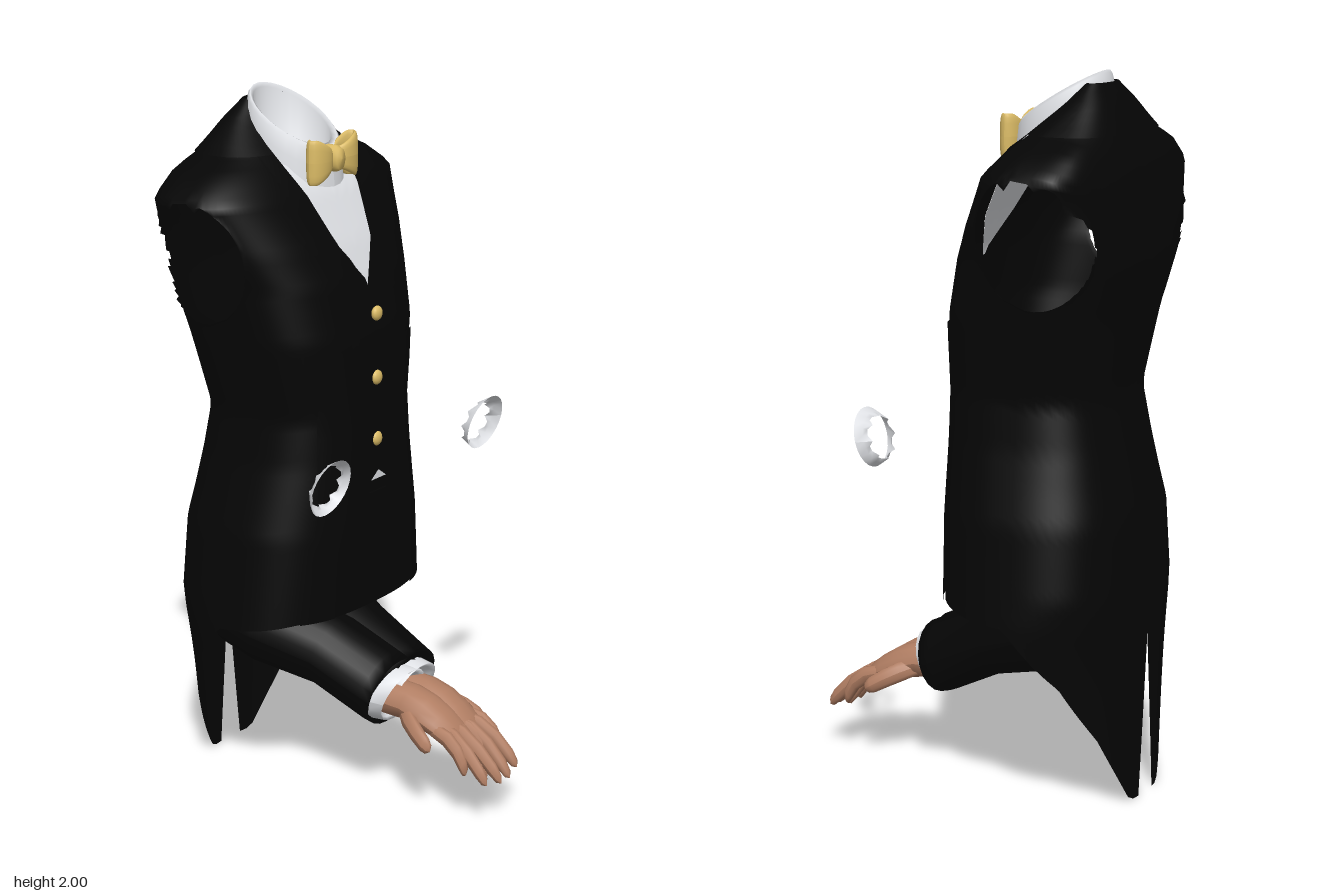
import * as THREE from 'three';

const mat = (name, color) => new THREE.MeshStandardMaterial({ name, color, side: THREE.DoubleSide });

// Linear interpolation in a table of [key, value, value...] rows
function lookup(table, k) {
  if (k <= table[0][0]) return table[0].slice(1);
  for (let i = 1; i < table.length; i++) {
    const a = table[i - 1], b = table[i];
    if (k <= b[0]) return a.slice(1).map((v, j) => v + (b[j + 1] - v) * (k - a[0]) / (b[0] - a[0]));
  }
  return table[table.length - 1].slice(1);
}

// Grid surface from a rule fn(u, v); "hole" may move a point and report it as cut away
function surface(nu, nv, fn, hole) {
  const pos = [], idx = [], cut = [];
  for (let j = 0; j <= nv; j++) for (let i = 0; i <= nu; i++) {
    const p = fn(i / nu, j / nv);
    cut.push(hole ? hole(p) : false);
    pos.push(...p);
  }
  for (let j = 0; j < nv; j++) for (let i = 0; i < nu; i++) {
    const a = j * (nu + 1) + i, b = a + 1, c = a + nu + 1, d = c + 1;
    if (cut[a] && cut[b] && cut[c] && cut[d]) continue;
    idx.push(a, b, d, a, d, c);
  }
  const g = new THREE.BufferGeometry();
  g.setAttribute('position', new THREE.Float32BufferAttribute(pos, 3));
  g.setIndex(idx);
  g.computeVertexNormals();
  return g;
}

// Tube of elliptical rings [x, y, z, rx, ry]; tilt leans the rings in z
function loft(rings, tilt = 0, n = 14) {
  return surface(n, rings.length - 1, (u, v) => {
    const [x, y, z, rx, ry] = rings[Math.round(v * (rings.length - 1))];
    const a = u * Math.PI * 2, h = Math.sin(a) * ry;
    return [x + Math.cos(a) * rx, y + h, z + h * tilt];
  });
}

function mirrored(g) {
  const m = g.clone().scale(-1, 1, 1);
  m.setIndex(Array.from(m.index.array).reverse());
  return m;
}

// Coat body: height, half width, front z, back z
const BODY = [[0, .37, .04, -.49], [.53, .37, .05, -.49], [.8, .34, .055, -.48], [1, .29, .055, -.44],
  [1.13, .27, .055, -.415], [1.35, .318, .05, -.45], [1.5, .34, .018, -.49], [1.6, .375, -.025, -.49],
  [1.74, .42, -.1, -.47], [1.8, .34, -.15, -.455], [1.84, .24, -.19, -.435], [1.92, .145, -.275, -.4],
  [1.97, .08, -.31, -.366]];
const NECKLINE = [[1.49, 0], [1.6, .08], [1.72, .115], [1.8, .135], [1.87, .13], [1.92, .112], [1.97, .065]];
const HEM = [[0, .56], [.8, .56], [1.57, .53], [2.29, .36], [2.69, .2], [3.05, 0]];
const ROUND = .75;
// Squareness of the back by height: curved tails, boxy shoulders, round collar
const BACK_ROUND = [[0, 2.5], [.36, 1.5], [.6, .75], [.9, .75], [1.4, .5], [1.82, .5], [1.95, 1]];

function bodyPoint(y, phi, off = 0) {
  const [w, f, b] = lookup(BODY, y), c = Math.cos(phi);
  const e = c < 0 ? lookup(BACK_ROUND, y)[0] : ROUND;
  return [(w + off) * Math.pow(Math.max(0, Math.sin(phi)), ROUND), y,
    (f + b) / 2 + ((f - b) / 2 + off) * Math.sign(c) * Math.pow(Math.abs(c), e)];
}
const angleAt = (y, x) => Math.asin(Math.min(1, Math.pow(Math.max(0, x) / lookup(BODY, y)[0], 1 / ROUND)));
const neckAngle = y => angleAt(y, lookup(NECKLINE, y)[0]);

// Armhole: points inside the frayed oval are pushed out to its edge
function armhole(p) {
  if (p[0] < .15) return false;
  const dy = (p[1] - 1.57) / .18, dz = (p[2] + .295) / .16, q = Math.hypot(dy, dz);
  const a = Math.atan2(dy, dz);
  const edge = a > 1.2 && a < 2.9 ? .84 + .16 * Math.abs(Math.sin(a * 5)) : 1;
  if (q >= edge) return false;
  const k = edge / Math.max(q, .01);
  p[1] = 1.57 + dy * k * .18;
  p[2] = -.295 + dz * k * .16;
  return true;
}

export function createModel() {
  const model = new THREE.Group();
  model.name = 'tailcoatOutfit';
  const black = mat('blackCloth', 0x050505), white = mat('whiteLinen', 0xe4e6ea);
  const gold = mat('goldSatin', 0xdcbc66), skin = mat('skin', 0xb17e63);

  const add = (name, geo, material) => {
    const m = new THREE.Mesh(geo, material);
    m.name = name;
    model.add(m);
    return m;
  };
  const addPair = (name, geo, material) => {
    add(name + 'Left', geo, material);
    add(name + 'Right', mirrored(geo), material);
  };

  // Coat shell with neckline, armholes, pointed tails and back slit
  addPair('coatBody', surface(56, 72, (u, v) => {
    const hem = lookup(HEM, u * Math.PI)[0];
    const y = 1.97 + (hem - 1.97) * v;
    const start = neckAngle(y);
    const end = Math.PI - angleAt(y, .045 * Math.max(0, 1 - y / .46));
    return bodyPoint(y, start + (end - start) * u);
  }, armhole), black);

  // Raised collar, lapels and front panels
  addPair('coatCollar', surface(24, 6, (u, v) => {
    const y = 1.84 + .13 * v, a = neckAngle(y);
    return bodyPoint(y, a + (Math.PI - a) * u, .008 * (1 - v));
  }), black);
  addPair('lapel', surface(6, 16, (u, v) => {
    const y = 1.28 + .56 * v;
    const inner = Math.max(lookup(NECKLINE, y)[0], .1 - .15 * v);
    const width = lookup([[1.28, .01], [1.66, .13], [1.72, .08], [1.84, .05]], y)[0];
    return bodyPoint(y, angleAt(y, inner + width * u), .008);
  }), black);
  addPair('coatFrontPanel', surface(8, 16, (u, v) => {
    const y = .56 + .76 * v;
    const inner = lookup([[.56, .18], [.9, .12], [1.32, .1]], y)[0];
    return bodyPoint(y, angleAt(y, inner + .1 * u), .006);
  }), black);

  // Shirt front in the neckline, and the small gap under the waistcoat
  addPair('shirtFront', surface(8, 14, (u, v) => {
    const y = 1.48 + (.27 + .07 * u) * v;
    return bodyPoint(y, angleAt(y, (lookup(NECKLINE, y)[0] + .006) * u), -.003);
  }), white);
  const gap = new THREE.Shape([[-.036, .93], [.036, .93], [0, .955]].map(p => new THREE.Vector2(...p)));
  add('shirtGap', new THREE.ShapeGeometry(gap).translate(0, 0, .059), white);
  add('waistBuckle', new THREE.BoxGeometry(.08, .06, .012).translate(0, .865, .054), black);

  // Standing shirt collar, slanted to the front: radius x, radius z, centre z, drop
  const COLLAR = [[.134, .14, -.23, .1], [.13, .135, -.23, .05], [.121, .129, -.228, .01], [.113, .122, -.23, 0],
    [.101, .11, -.235, .008], [.094, .1, -.235, .1], [.05, .05, -.235, .14], [0, 0, -.235, .14]];
  add('shirtCollar', surface(28, COLLAR.length - 1, (u, v) => {
    const [rx, rz, cz, drop] = COLLAR[Math.round(v * (COLLAR.length - 1))];
    const a = u * Math.PI * 2, z = cz + Math.cos(a) * rz;
    return [Math.sin(a) * rx, 1.86 + (-.12 - z) * .61 - drop, z];
  }), white);

  // Bow tie: two puffed loops with thick walls, and a squarish knot
  addPair('bowLoop', surface(24, 16, (u, v) => {
    const a = u * Math.PI * 2, s = Math.sin(v * Math.PI * 2), puff = Math.cos(v * Math.PI * 2);
    const x = .058 + (.041 + .007 * puff) * Math.cos(a);
    const h = .028 + .034 * Math.min(1, Math.max(0, (x - .015) / .07));
    return [x, 1.82 + Math.sign(s) * Math.pow(Math.abs(s), .6) * h, -.098 + Math.sin(a) * (.019 + .01 * puff)];
  }), gold);
  add('bowKnot', loft([[0, 1.82, -.132, 0, 0], [0, 1.82, -.13, .02, .028], [0, 1.82, -.115, .025, .037],
    [0, 1.82, -.082, .025, .037], [0, 1.82, -.068, .02, .03], [0, 1.82, -.064, 0, 0]]), gold);

  // Waistcoat buttons
  for (const y of [1.405, 1.222, 1.045]) {
    const b = add('button', new THREE.SphereGeometry(.021, 14, 10), gold);
    b.scale.z = .6;
    b.position.set(0, y, .053);
  }

  // Loose frayed cuffs beside the waist, wider on the outer side
  addPair('looseCuff', surface(24, 2, (u, v) => {
    const i = Math.round(u * 24) % 24, a = i / 24 * Math.PI * 2;
    const fray = v === 1 && i % 3 ? .014 : 0;
    const r = 1 - .28 * v, h = .08 * r * Math.sin(a);
    return [.372 - .01 * v + .085 * r * Math.cos(a), 1.02 + h, .17 + h * .25 - .035 * v + fray];
  }), white);

  // Forearm sleeves crossing in front, with thin shirt cuffs
  addPair('sleeve', loft([[.032, .312, .11, .095, .078], [.038, .318, .142, .122, .1], [.043, .33, .11, .119, .103],
    [.065, .405, -.05, .118, .1], [.13, .465, -.22, .115, .11], [.16, .495, -.32, .1, .09], [.16, .495, -.35, 0, 0]], .25, 20), black);
  addPair('shirtCuff', loft([[.032, .31, .12, .098, .084], [.028, .308, .165, .096, .08],
    [.028, .306, .155, .085, .07], [.028, .306, .13, .05, .05]], .4, 20), white);

  // Hands: palm, four fingers and a thumb on each side
  addPair('palm', loft([[.035, .302, .12, .062, .052], [.036, .298, .2, .062, .05], [.036, .282, .26, .066, .046],
    [.034, .26, .31, .066, .038], [.034, .239, .35, .058, .028], [.034, .224, .375, .03, .01]], .25), skin);
  const digit = (from, mid, to, r) => {
    const curve = new THREE.QuadraticBezierCurve3(...[from, mid, to].map(p => new THREE.Vector3(...p)));
    const taper = [[0, .9], [.3, 1], [.6, .95], [.85, .85], [.95, .6], [1, 0]];
    return loft(taper.map(([t, k]) => {
      const p = curve.getPoint(t);
      return [p.x, p.y, p.z, r * k, r * k * 1.15];
    }), .5, 10);
  };
  const fingers = [[-.014, -.03, .455, .125], [.018, .022, .5, .12], [.05, .078, .487, .13], [.08, .09, .425, .15]];
  for (const [x0, x1, z, y] of fingers)
    addPair('finger', digit([x0, .255, .31], [(x0 + x1) / 2 + .008, .245, .4], [x1, y, z], .0185), skin);
  addPair('thumb', digit([.07, .285, .2], [.12, .27, .25], [.137, .215, .335], .022), skin);

  return model;
}
